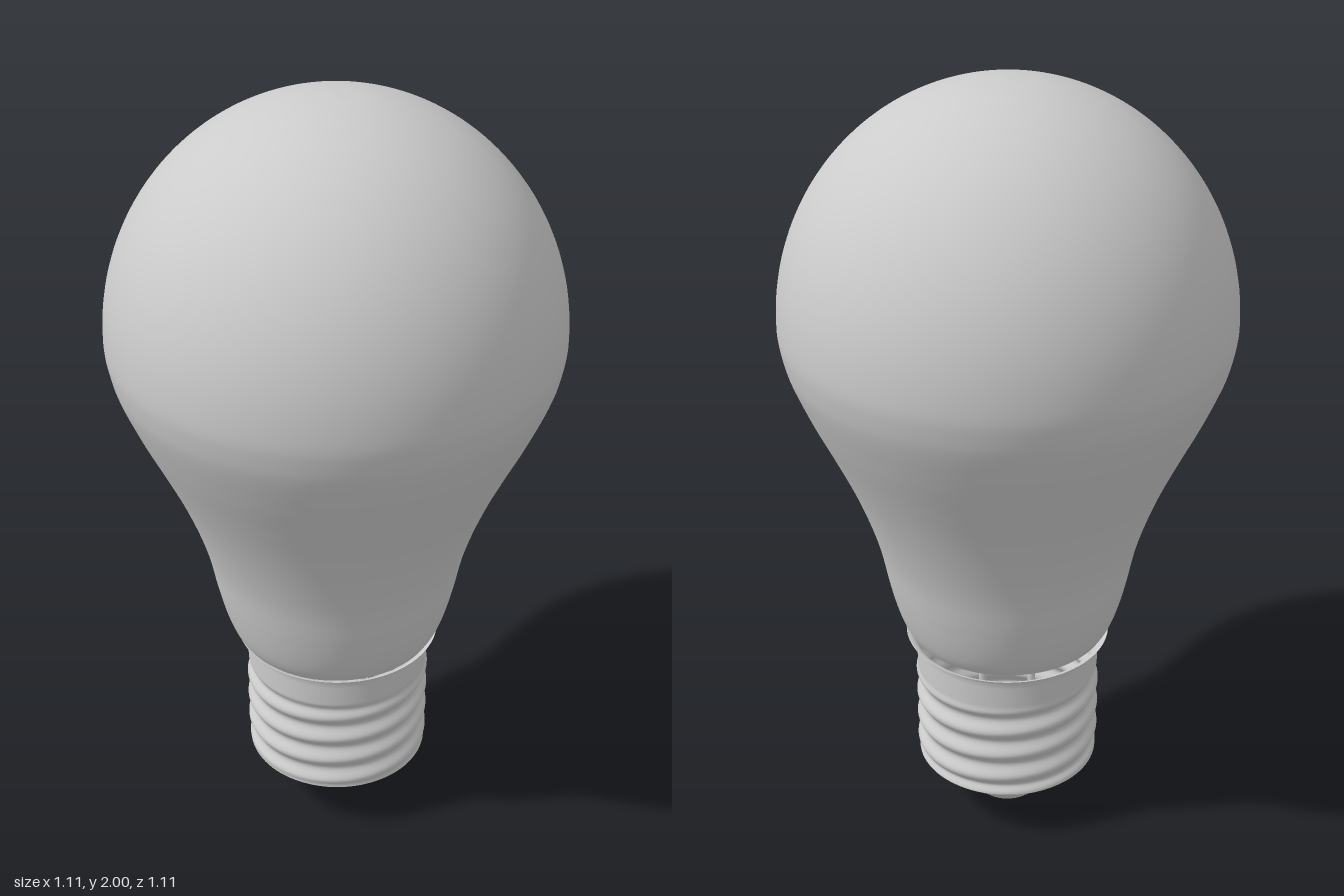
import * as THREE from 'three';
import { mergeVertices, toCreasedNormals } from 'three/addons/utils/BufferGeometryUtils.js';

const material = new THREE.MeshStandardMaterial({ color: 0xcccccc, side: THREE.DoubleSide });
const vec = ([r, y]) => new THREE.Vector2(r, y);

function addMesh(parent, name, geometry) {
  const mesh = new THREE.Mesh(geometry, material);
  mesh.name = name;
  parent.add(mesh);
  return mesh;
}

// Glass: one smooth pear profile from the rim through the widest ring to the dome
function glassGeometry() {
  const points = [
    [0.259, 0.540], [0.277, 0.572], [0.295, 0.625], [0.313, 0.70], [0.333, 0.80], [0.363, 0.90],
    [0.401, 1.0], [0.446, 1.1], [0.493, 1.2], [0.534, 1.3], [0.550, 1.36],
  ].map(vec);
  for (let i = 0; i <= 10; i++) {
    const a = (i / 10) * Math.PI / 2;
    points.push(vec([0.557 * Math.cos(a), 1.42 + 0.58 * Math.sin(a)]));
  }
  const profile = new THREE.SplineCurve(points).getPoints(100);
  profile[100].x = 0;
  return new THREE.LatheGeometry(profile, 96);
}

// Screw shell: a plain tube displaced by a right-handed helical wave, with a flared rim
function screwGeometry() {
  const bottom = 0.15, top = 0.495, pitch = 0.072;
  const points = [];
  for (let i = 0; i <= 84; i++) points.push(vec([0.240, bottom + (top - bottom) * i / 84]));
  points.push(vec([0.241, 0.506]), vec([0.244, 0.515]), vec([0.250, 0.522]), vec([0.258, 0.528]), vec([0.267, 0.531]));
  const geometry = new THREE.LatheGeometry(points, 96);
  const p = geometry.attributes.position;
  for (let i = 0; i < p.count; i++) {
    const x = p.getX(i), y = p.getY(i), z = p.getZ(i);
    const turn = Math.atan2(-z, x) + Math.PI / 2;
    const fade = THREE.MathUtils.smoothstep(y, 0.15, 0.175) * (1 - THREE.MathUtils.smoothstep(y, 0.40, 0.435));
    const wave = 0.008 * Math.cos(2 * Math.PI * (y - 0.393) / pitch - turn) - 0.004;
    const s = 1 + wave * fade / Math.hypot(x, z);
    p.setXYZ(i, x * s, y, z * s);
  }
  geometry.deleteAttribute('uv');
  geometry.deleteAttribute('normal');
  const merged = mergeVertices(geometry);
  merged.computeVertexNormals();
  return merged;
}

export function createModel() {
  const model = new THREE.Group();
  model.name = 'lightBulb';
  addMesh(model, 'glassBulb', glassGeometry());

  // Base sits very slightly off the glass axis
  const base = new THREE.Group();
  base.name = 'base';
  base.position.set(0.008, 0, -0.008);
  model.add(base);
  addMesh(base, 'screwShell', screwGeometry());

  // Insulator cone and contact tip
  const insulator = [[0.145, 0.079], [0.163, 0.084], [0.233, 0.143], [0.240, 0.15]].map(vec);
  addMesh(base, 'insulator', toCreasedNormals(new THREE.LatheGeometry(insulator, 64), 0.4));
  const contact = [[0, 0], [0.068, 0.003], [0.084, 0.009], [0.096, 0.021], [0.150, 0.080]].map(vec);
  addMesh(base, 'contactTip', toCreasedNormals(new THREE.LatheGeometry(contact, 64), 0.5));

  // Lead wires bridging the gap between base and glass
  for (const side of [-1, 1]) {
    const curve = new THREE.CatmullRomCurve3([
      new THREE.Vector3(side * 0.08, 0.2, 0),
      new THREE.Vector3(side * 0.08, 0.54, 0),
      new THREE.Vector3(side * 0.06, 0.9, 0),
    ]);
    addMesh(base, side > 0 ? 'leftWire' : 'rightWire', new THREE.TubeGeometry(curve, 16, 0.01, 8));
  }
  return model;
}
